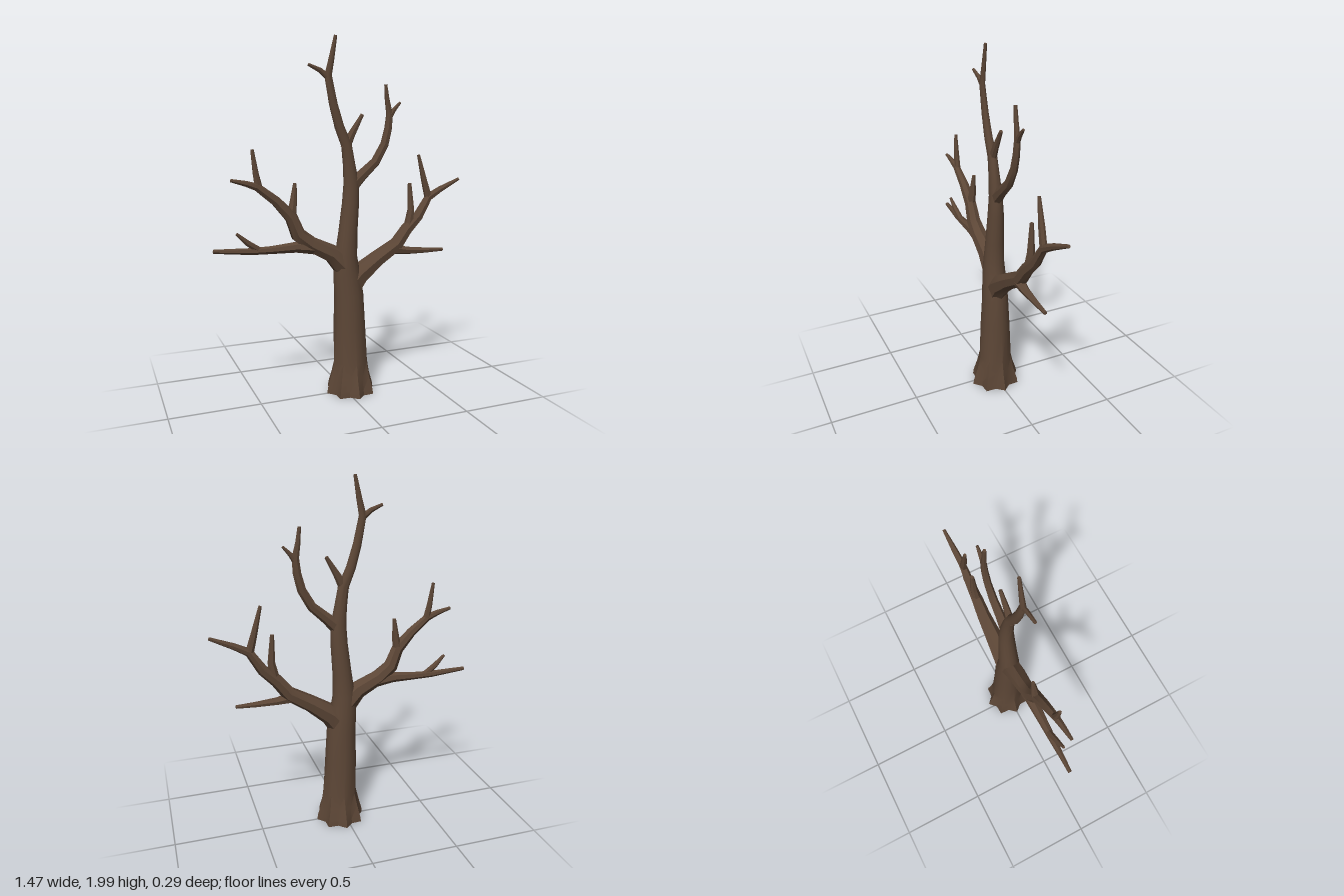
import * as THREE from 'three';
import { toCreasedNormals } from 'three/addons/utils/BufferGeometryUtils.js';

// Sweep closed rings along points [x, y, z, inPlaneRadius, depthRadius, lobeDepth]
function limbGeometry(points, sides) {
  const pos = [], index = [];
  const centre = points.map((p) => new THREE.Vector3(p[0], p[1], p[2]));
  const depth = new THREE.Vector3(0, 0, 1);
  points.forEach((p, i) => {
    const a = centre[Math.max(i - 1, 0)], b = centre[Math.min(i + 1, points.length - 1)];
    const tangent = b.clone().sub(a).setZ(0).normalize();
    const across = new THREE.Vector3(tangent.y, -tangent.x, 0);
    const r = p[3], rz = p[4] ?? r, lobe = p[5] ?? 0;
    for (let s = 0; s < sides; s++) {
      const t = (s / sides) * Math.PI * 2;
      const k = 1 + lobe * Math.cos(8 * t);
      const v = centre[i].clone()
        .addScaledVector(across, Math.cos(t) * r * k)
        .addScaledVector(depth, Math.sin(t) * rz * k);
      pos.push(v.x, v.y, v.z);
    }
  });
  for (let i = 0; i < points.length - 1; i++) {
    for (let s = 0; s < sides; s++) {
      const n = (s + 1) % sides;
      const a = i * sides + s, b = i * sides + n, c = a + sides, d = b + sides;
      index.push(a, c, b, b, c, d);
    }
  }
  // Close both ends with a centre point
  const last = (points.length - 1) * sides;
  const start = pos.length / 3;
  pos.push(...centre[0].toArray(), ...centre[centre.length - 1].toArray());
  for (let s = 0; s < sides; s++) {
    const n = (s + 1) % sides;
    index.push(start, s, n, start + 1, last + n, last + s);
  }
  const g = new THREE.BufferGeometry();
  g.setAttribute('position', new THREE.Float32BufferAttribute(pos, 3));
  g.setIndex(index);
  return toCreasedNormals(g, 0.7);
}

export function createModel() {
  const tree = new THREE.Group();
  tree.name = 'bareTree';
  const bark = new THREE.MeshStandardMaterial({ color: 0x5c4636 });
  bark.name = 'barkBrown';

  const addLimb = (name, points, sides = 7) => {
    const mesh = new THREE.Mesh(limbGeometry(points, sides), bark);
    mesh.name = name;
    tree.add(mesh);
  };

  // Trunk with flared, lobed roots
  addLimb('trunk', [
    [0.028, 0.01, 0, 0.126, 0.13, 0.12],
    [0.028, 0.04, 0, 0.122, 0.126, 0.12],
    [0.028, 0.11, 0, 0.108, 0.108, 0.08],
    [0.03, 0.19, 0, 0.098, 0.095, 0.03],
    [0.023, 0.4, -0.002, 0.091, 0.084],
    [0.02, 0.58, -0.003, 0.084, 0.073],
    [0.008, 0.7, -0.003, 0.077, 0.066],
    [0.003, 0.8, -0.003, 0.064, 0.059],
    [0.014, 0.93, -0.003, 0.054, 0.052],
    [0.03, 1.1, -0.002, 0.048, 0.044],
    [0.033, 1.21, 0, 0.044, 0.036],
    [0.02, 1.31, 0.002, 0.035, 0.03],
    [0.003, 1.42, 0.005, 0.03, 0.025],
    [-0.04, 1.52, 0.008, 0.027, 0.021],
    [-0.075, 1.64, 0.01, 0.024, 0.018],
    [-0.105, 1.79, 0.012, 0.021, 0.014],
    [-0.085, 1.88, 0.012, 0.016, 0.011],
    [-0.062, 1.998, 0.012, 0.009, 0.008],
  ], 16);

  // Crown
  addLimb('crownTwigLeft', [[-0.1, 1.775, 0.012, 0.018, 0.013], [-0.15, 1.815, 0.012, 0.014, 0.011], [-0.215, 1.843, 0.012, 0.008]]);
  addLimb('crownTwigRight', [[-0.005, 1.4, 0.005, 0.028, 0.022], [0.035, 1.48, 0.004, 0.021, 0.017], [0.098, 1.585, 0.002, 0.01]]);
  addLimb('crownBranch', [
    [0.03, 1.19, 0, 0.042, 0.034], [0.1, 1.255, 0, 0.032, 0.027], [0.18, 1.325, -0.001, 0.027, 0.023],
    [0.235, 1.42, -0.002, 0.025, 0.02], [0.258, 1.51, -0.003, 0.023, 0.018], [0.265, 1.59, -0.003, 0.02, 0.015],
    [0.25, 1.67, -0.004, 0.014, 0.012], [0.241, 1.75, -0.004, 0.009],
  ]);
  addLimb('crownBranchTwig', [[0.26, 1.565, -0.003, 0.018, 0.014], [0.29, 1.61, -0.002, 0.013], [0.33, 1.652, -0.002, 0.007]]);

  // Branches on the -x side
  addLimb('rightBranch', [
    [0.0, 0.74, -0.003, 0.07, 0.06], [-0.08, 0.82, -0.004, 0.052, 0.055], [-0.2, 0.88, -0.005, 0.044, 0.046],
    [-0.275, 0.94, -0.005, 0.042, 0.04], [-0.315, 1.04, -0.003, 0.036, 0.033], [-0.4, 1.13, 0, 0.027, 0.027],
    [-0.5, 1.208, 0.004, 0.022, 0.02], [-0.56, 1.228, 0.007, 0.016], [-0.64, 1.248, 0.01, 0.009],
  ]);
  addLimb('rightUpperTwig', [[-0.49, 1.2, 0.002, 0.021, 0.018], [-0.505, 1.28, 0, 0.016], [-0.521, 1.405, -0.004, 0.009]]);
  addLimb('rightMiddleTwig', [[-0.315, 1.03, -0.005, 0.028, 0.026], [-0.3, 1.11, -0.01, 0.021], [-0.287, 1.22, -0.015, 0.01]]);
  addLimb('rightLowerBranch', [
    [-0.17, 0.86, -0.005, 0.038, 0.042], [-0.29, 0.872, -0.007, 0.03, 0.034], [-0.42, 0.866, -0.01, 0.022, 0.026],
    [-0.53, 0.865, -0.012, 0.019, 0.021], [-0.64, 0.872, -0.015, 0.015], [-0.735, 0.878, -0.018, 0.011],
  ]);
  addLimb('rightLowerTwig', [[-0.49, 0.868, -0.011, 0.018], [-0.555, 0.912, -0.004, 0.016], [-0.615, 0.967, 0.003, 0.008]]);

  // Branches on the +x side
  addLimb('leftBranch', [
    [0.01, 0.6, -0.003, 0.075, 0.062], [0.085, 0.69, -0.004, 0.062, 0.06], [0.2, 0.772, -0.006, 0.048, 0.05],
    [0.32, 0.845, -0.008, 0.042, 0.04], [0.385, 0.93, -0.01, 0.037, 0.034], [0.46, 1.0, -0.013, 0.031, 0.028],
    [0.53, 1.11, -0.017, 0.024, 0.021], [0.61, 1.153, -0.022, 0.018], [0.735, 1.209, -0.028, 0.009],
  ]);
  addLimb('leftUpperTwig', [[0.53, 1.1, -0.017, 0.024, 0.019], [0.5, 1.21, -0.02, 0.018], [0.462, 1.357, -0.022, 0.009]]);
  addLimb('leftMiddleTwig', [[0.395, 0.94, -0.01, 0.028, 0.026], [0.413, 1.04, -0.013, 0.021], [0.405, 1.195, -0.018, 0.011]]);
  addLimb('leftLowerTwig', [[0.28, 0.825, -0.006, 0.036, 0.036], [0.385, 0.806, 0, 0.022, 0.024], [0.5, 0.8, 0.004, 0.016], [0.613, 0.798, 0.009, 0.01]]);

  return tree;
}
